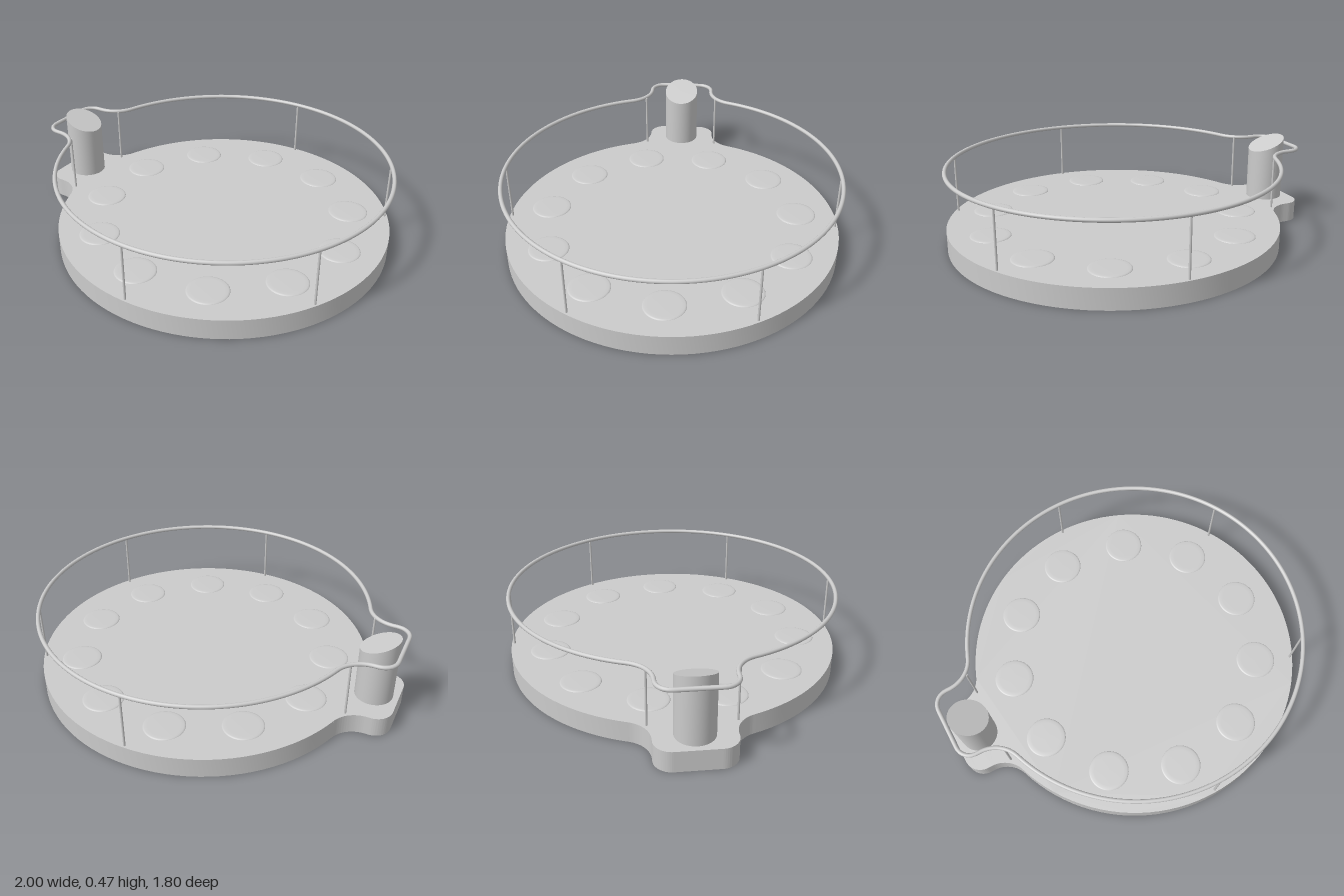
import * as THREE from 'three';
import { toCreasedNormals } from 'three/addons/utils/BufferGeometryUtils.js';

const CX = 0.1;          // centre of the round deck
const DECK_TOP = 0.11;
const RAIL_Y = 0.42;

// Keyhole outline: large circle with a rounded tab at -x, blended by fillets
function outline(inset) {
  const t = Math.atan2(0.35, -0.99), H = Math.PI / 2;
  const s = new THREE.Shape();
  s.absarc(CX, 0, 0.9 - inset, -t, t, false);
  s.absarc(-0.89, 0.35, 0.15 + inset, t - Math.PI, -H, true);
  s.absarc(-0.91, 0.11, 0.09 - inset, H, Math.PI, false);
  s.absarc(-0.91, -0.11, 0.09 - inset, Math.PI, 3 * H, false);
  s.absarc(-0.89, -0.35, 0.15 + inset, H, Math.PI - t, true);
  s.closePath();
  return s;
}

export function createModel() {
  const model = new THREE.Group();
  const grey = new THREE.MeshStandardMaterial({ color: 0xcccccc });
  const add = (name, geometry, x = 0, y = 0, z = 0) => {
    const mesh = new THREE.Mesh(geometry, grey);
    mesh.name = name;
    mesh.position.set(x, y, z);
    model.add(mesh);
    return mesh;
  };

  // Deck
  const deck = new THREE.ExtrudeGeometry(outline(0), {
    depth: DECK_TOP, bevelEnabled: false, curveSegments: 48,
  });
  deck.rotateX(-Math.PI / 2);
  add('deck', toCreasedNormals(deck, 0.6));

  // Handrail following the deck edge
  const points = outline(0.013).getSpacedPoints(240).slice(0, -1)
    .map((p) => new THREE.Vector3(p.x, RAIL_Y, -p.y));
  const path = new THREE.CatmullRomCurve3(points, true);
  add('handrail', new THREE.TubeGeometry(path, 360, 0.011, 12, true));

  // Rail posts, mirrored front to back
  const post = new THREE.CylinderGeometry(0.006, 0.006, RAIL_Y - DECK_TOP, 12);
  for (const [x, z] of [[CX, 0.885], [0.865, 0.445], [-0.782, 0.215]]) {
    for (const side of [1, -1]) add('railPost', post, x, (RAIL_Y + DECK_TOP) / 2, side * z);
  }

  // Ring of low, softly edged floor pads
  const pad = new THREE.LatheGeometry([
    [0.107, 0], [0.105, 0.003], [0.098, 0.005], [0.08, 0.006], [0, 0.006],
  ].map(([r, y]) => new THREE.Vector2(r, y)), 48);
  for (let i = 0; i < 11; i++) {
    const a = (i / 11) * Math.PI * 2 + 0.01;
    add('floorPad', pad, CX + 0.69 * Math.cos(a), DECK_TOP, -0.69 * Math.sin(a));
  }

  // Console column with its top sloping down towards the deck
  const column = new THREE.CylinderGeometry(0.1, 0.1, 0.32, 48);
  const pos = column.attributes.position;
  for (let i = 0; i < pos.count; i++) {
    if (pos.getY(i) > 0) pos.setY(i, 0.16 - 0.39 * pos.getX(i));
  }
  add('consoleColumn', toCreasedNormals(column, 0.6), -0.87, DECK_TOP + 0.16, 0);

  return model;
}
